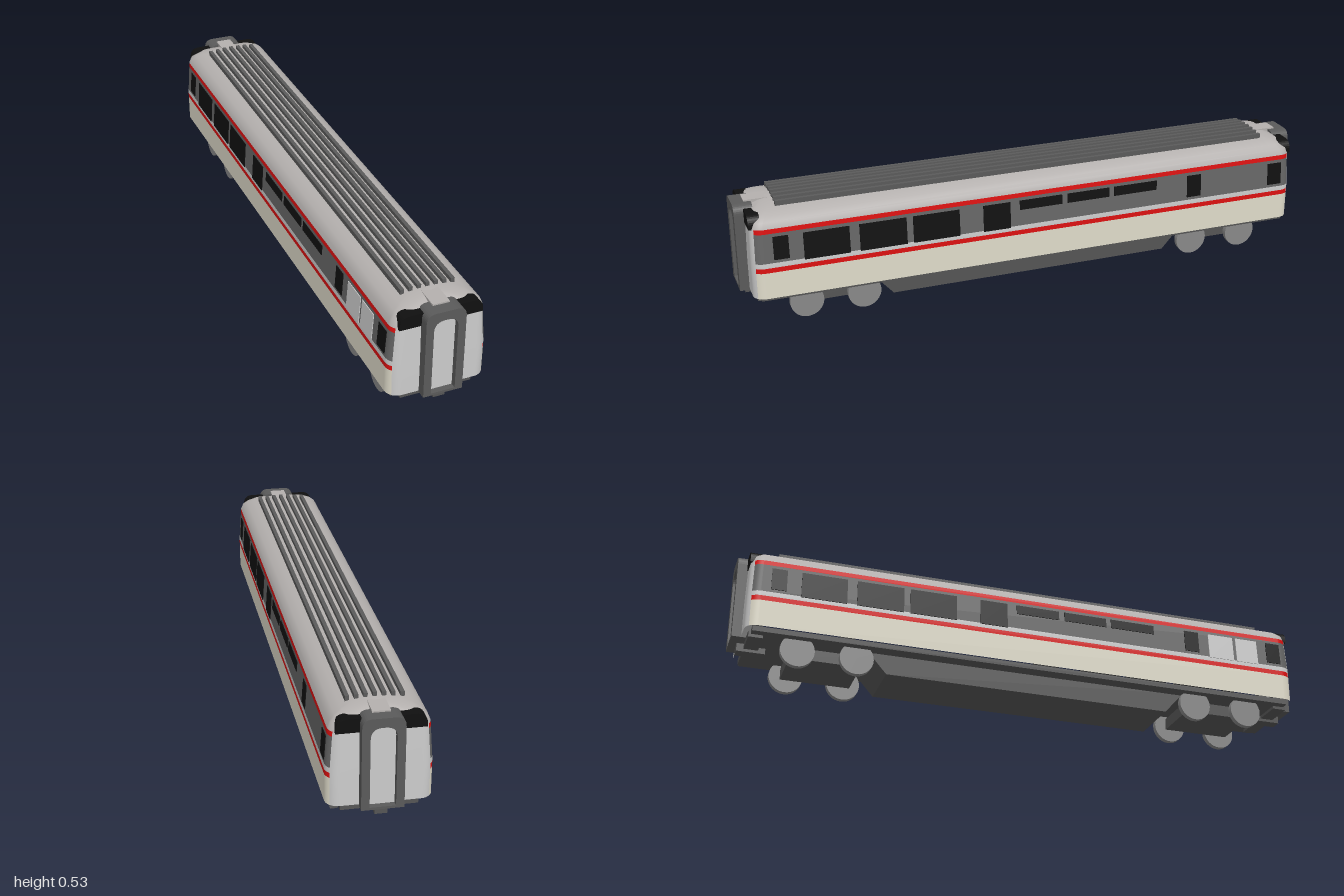
import * as THREE from 'three';

const mat = (color, opts = {}) => new THREE.MeshStandardMaterial({ color, ...opts });
const grey = mat(0xcccccc), cream = mat(0xe0dccb), red = mat(0xdd1111);
const dark = mat(0x666666), black = mat(0x101010), under = mat(0x555555), roofMat = mat(0xb4b0ae);
const wheelMat = mat(0x888888), frameMat = mat(0x5a5a5a);

function add(parent, name, geometry, material, x = 0, y = 0, z = 0) {
  const mesh = new THREE.Mesh(geometry, material);
  mesh.name = name;
  mesh.position.set(x, y, z);
  parent.add(mesh);
  return mesh;
}
const box = (x, y, z) => new THREE.BoxGeometry(x, y, z);

// Body outline at a height: [y, half width, half length]
const PROFILE = [[0.135, 0.204, 1.24], [0.28, 0.205, 1.24], [0.44, 0.194, 1.236]];
const ROOF = [[0.44, 0.194, 1.236], [0.465, 0.184, 1.232], [0.484, 0.164, 1.22],
  [0.498, 0.135, 1.2], [0.508, 0.095, 1.17], [0.514, 0.05, 1.14], [0.516, 0, 1.1]];

function outlineAt(y) {
  const i = y < PROFILE[1][0] ? 0 : 1;
  const [a, b] = [PROFILE[i], PROFILE[i + 1]];
  const t = (y - a[0]) / (b[0] - a[0]);
  return [y, a[1] + (b[1] - a[1]) * t, a[2] + (b[2] - a[2]) * t];
}

// Corner arcs in degrees; a side or an end meets its neighbour in mid-corner
const SIDE = [[135, 90], [90, 45]], END = [[45, 0], [0, -45]];
const RING = [[135, 90], [90, 0], [0, -90], [-90, -180], [-180, -225]];

// Stacks rounded outlines into a wall
function wall(rings, arcs) {
  const pos = [], index = [];
  let n = 0;
  for (const [y, w, l] of rings) {
    const r = Math.min(0.05, w);
    const start = pos.length;
    for (const [a, b] of arcs) {
      const mid = THREE.MathUtils.degToRad((a + b) / 2);
      const steps = 6;
      for (let k = 0; k <= steps; k++) {
        const f = THREE.MathUtils.degToRad(a + (b - a) * k / steps);
        pos.push(Math.sign(Math.cos(mid)) * (l - r) + r * Math.cos(f), y,
          Math.sign(Math.sin(mid)) * (w - r) + r * Math.sin(f));
      }
    }
    n = (pos.length - start) / 3;
  }
  for (let j = 0; j < rings.length - 1; j++) {
    for (let i = 0; i < n - 1; i++) {
      const a = j * n + i, b = a + 1, c = a + n, d = b + n;
      index.push(a, b, d, a, d, c);
    }
  }
  const g = new THREE.BufferGeometry();
  g.setAttribute('position', new THREE.Float32BufferAttribute(pos, 3));
  g.setIndex(index);
  g.computeVertexNormals();
  return g;
}

// Arched outline, used by the gangway
function arch(Type, w, y0, y1, r) {
  const s = new Type();
  s.moveTo(-w, y0);
  s.lineTo(w, y0);
  s.lineTo(w, y1 - r);
  s.quadraticCurveTo(w, y1, w - r, y1);
  s.lineTo(r - w, y1);
  s.quadraticCurveTo(-w, y1, -w, y1 - r);
  s.closePath();
  return s;
}
// Extrudes a shape along +x, starting at x0
function alongX(shape, x0, depth) {
  const g = new THREE.ExtrudeGeometry(shape, { depth, bevelEnabled: false, curveSegments: 8 });
  g.rotateY(Math.PI / 2);
  g.translate(x0, 0, 0);
  return g;
}

const BANDS = [['lowerPanel', 0.135, 0.251, cream], ['lowerStripe', 0.251, 0.272, red],
  ['waistBand', 0.272, 0.293, grey], ['windowBand', 0.293, 0.42, dark], ['upperStripe', 0.42, 0.44, red]];

// Window spans along the body
const DOOR_WINDOWS = [[-1.15, -1.086], [0.71, 0.778], [1.117, 1.185]];
const BIG_WINDOWS = [[-1.025, -0.832], [-0.79, -0.588], [-0.56, -0.356], [-0.25, -0.128]];
const SMALL_WINDOWS = [[-0.085, 0.11], [0.135, 0.332], [0.355, 0.56]];
const PALE_WINDOWS = [[0.828, 0.949], [0.964, 1.07]];

function addWindows(parent, name, spans, y0, y1, material) {
  const y = (y0 + y1) / 2;
  for (const [a, b] of spans) {
    const m = add(parent, name, box(b - a, y1 - y0, 0.006), material, (a + b) / 2, y, outlineAt(y)[1]);
    m.rotation.x = -Math.atan(0.011 / 0.16);
  }
}

function makeSide(withPale) {
  const side = new THREE.Group();
  side.name = 'bodySide';
  for (const [name, y0, y1, m] of BANDS) {
    const ys = y0 < 0.28 && y1 > 0.28 ? [y0, 0.28, y1] : [y0, y1];
    add(side, name, wall(ys.map(outlineAt), SIDE), m);
  }
  addWindows(side, 'doorWindow', DOOR_WINDOWS, 0.306, 0.406, black);
  addWindows(side, 'largeWindow', BIG_WINDOWS, 0.289, 0.406, black);
  addWindows(side, 'smallWindow', SMALL_WINDOWS, 0.364, 0.406, black);
  if (withPale) addWindows(side, 'paleWindow', PALE_WINDOWS, 0.289, 0.406, grey);
  return side;
}

function makeEnd() {
  const end = new THREE.Group();
  end.name = 'bodyEnd';
  add(end, 'endPanel', wall(PROFILE, END), grey);
  add(end, 'endRecess', alongX(arch(THREE.Shape, 0.172, 0.438, 0.494, 0.045), 1.19, 0.05), black);
  // Gangway frame with its door set back
  const frame = arch(THREE.Shape, 0.082, 0.13, 0.508, 0.04);
  frame.holes.push(arch(THREE.Path, 0.05, 0.14, 0.47, 0.045));
  add(end, 'gangwayFrame', alongX(frame, 1.2, 0.08), frameMat);
  add(end, 'gangwayDoor', box(0.01, 0.36, 0.12), grey, 1.25, 0.31, 0);
  add(end, 'gangwayTop', box(0.1, 0.014, 0.07), roofMat, 1.18, 0.507, 0);
  add(end, 'endBeam', box(0.06, 0.03, 0.3), under, 1.19, 0.12, 0);
  add(end, 'coupler', box(0.12, 0.035, 0.05), under, 1.19, 0.11, 0);
  return end;
}

function makeBogie() {
  const bogie = new THREE.Group();
  bogie.name = 'bogie';
  add(bogie, 'bogieFrame', box(0.3, 0.05, 0.23), under, 0, 0.075, 0);
  add(bogie, 'bogiePivot', box(0.14, 0.04, 0.14), under, 0, 0.112, 0);
  for (const x of [-0.124, 0.124]) {
    const axle = add(bogie, 'axle', new THREE.CylinderGeometry(0.014, 0.014, 0.28, 12), under, x, 0.072, 0);
    axle.rotation.x = Math.PI / 2;
    for (const z of [-0.14, 0.14]) {
      const wheel = add(bogie, 'wheel', new THREE.CylinderGeometry(0.072, 0.072, 0.024, 32), wheelMat, x, 0.072, z);
      wheel.rotation.x = Math.PI / 2;
    }
  }
  return bogie;
}

export function createModel() {
  const model = new THREE.Group();
  model.name = 'railCarriage';
  const car = new THREE.Group();
  car.name = 'carriage';
  car.rotation.y = -Math.PI / 4;
  model.add(car);

  // Body shell
  for (const turn of [0, Math.PI]) {
    const side = makeSide(turn === 0), end = makeEnd();
    side.rotation.y = end.rotation.y = turn;
    car.add(side, end);
  }

  // Ribbed roof
  add(car, 'roof', wall(ROOF, RING), roofMat);
  for (let i = -3; i <= 3; i++) {
    const z = i * 0.035;
    const top = 0.531 - 0.6 * z * z;
    add(car, 'roofRib', box(2.23, 0.035, 0.016), frameMat, 0, top - 0.0175, z);
  }

  // Underframe and equipment casing
  add(car, 'underframe', box(2.42, 0.022, 0.37), under, 0, 0.129, 0);
  const casing = new THREE.Shape([[-0.635, 0.03], [0.635, 0.03], [0.72, 0.125], [-0.72, 0.125]]
    .map(([x, y]) => new THREE.Vector2(x, y)));
  const casingGeo = new THREE.ExtrudeGeometry(casing, { depth: 0.25, bevelEnabled: false });
  add(car, 'equipmentCasing', casingGeo, under, 0, 0, -0.125);

  // Running gear
  for (const x of [-0.892, 0.892]) {
    const bogie = makeBogie();
    bogie.position.x = x;
    car.add(bogie);
  }
  return model;
}
